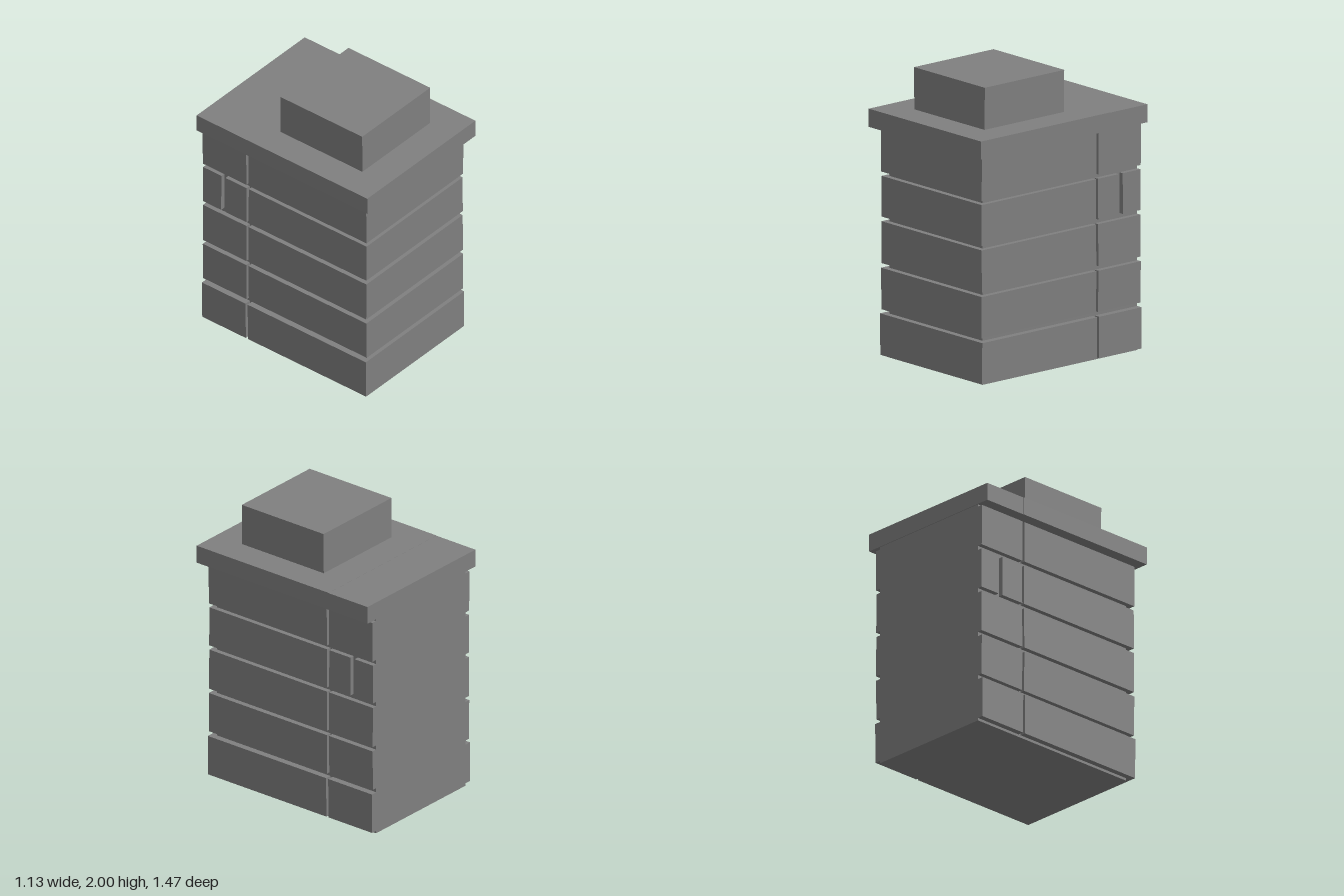
import * as THREE from 'three';

const stone = new THREE.MeshStandardMaterial({ color: 0x808080 });
stone.name = 'grey stone';

// Box from its limits; the top may be slightly wider or narrower than the base.
function block(name, [x0, x1], [y0, y1], [z0, z1], flare = 0) {
  const g = new THREE.BoxGeometry(x1 - x0, y1 - y0, z1 - z0);
  const p = g.attributes.position;
  for (let i = 0; i < p.count; i++) {
    if (p.getY(i) > 0) p.setX(i, p.getX(i) + Math.sign(p.getX(i)) * flare);
  }
  g.translate((x0 + x1) / 2, (y0 + y1) / 2, (z0 + z1) / 2);
  g.computeVertexNormals();
  const m = new THREE.Mesh(g, stone);
  m.name = name;
  return m;
}

export function createModel() {
  const model = new THREE.Group();
  model.name = 'stonePillar';
  const back = -0.73;

  // Inner core seen in the joints, flush with the flat back
  model.add(block('core', [-0.47, 0.47], [0, 1.6], [back, 0.637]));

  // Stone courses: bottom, top, half width, front, flare
  const courses = [
    [0.018, 0.303, 0.512, 0.68, 0.003],
    [0.333, 0.618, 0.503, 0.678, 0.004],
    [0.65, 0.938, 0.506, 0.676, -0.002],
    [0.97, 1.25, 0.505, 0.676, -0.002],
    [1.28, 1.568, 0.506, 0.678, 0.003],
  ];
  courses.forEach(([y0, y1, w, front, flare], i) => {
    const course = new THREE.Group();
    course.name = 'course' + (i + 1);
    course.add(block('frontStone', [-w, w], [y0, y1], [-0.337, front], flare));
    // The fourth course has a second upright joint
    const spans = i === 3 ? [[-0.537, -0.355], [back, -0.573]] : [[back, -0.355]];
    for (const span of spans) {
      course.add(block('rearStone', [-w, w], [y0, y1], span, flare));
    }
    model.add(course);
  });

  // Overhanging capstone in two lengths
  model.add(block('frontCap', [-0.567, 0.565], [1.585, 1.71], [-0.4, 0.735]));
  model.add(block('rearCap', [-0.565, 0.567], [1.585, 1.709], [-0.735, -0.4]));

  // Top block
  model.add(block('topBlock', [-0.354, 0.354], [1.7, 2], [-0.185, 0.518], 0.002));
  return model;
}
